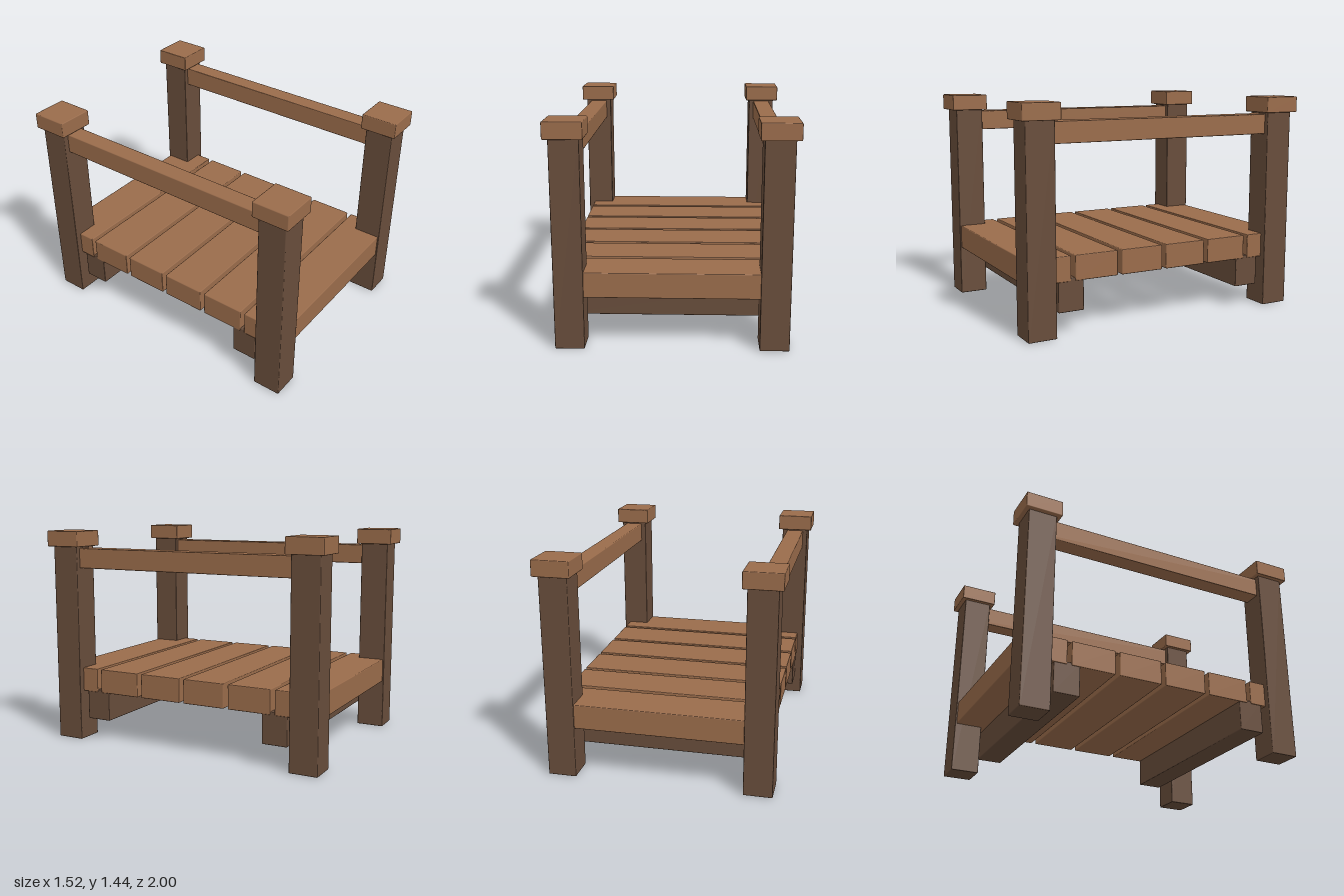
import * as THREE from 'three';
import { RoundedBoxGeometry } from 'three/addons/geometries/RoundedBoxGeometry.js';

const lightWood = new THREE.MeshStandardMaterial({ color: 0x9a6c4b });
const darkWood = new THREE.MeshStandardMaterial({ color: 0x684d3b });

// Timber with slightly eased edges, given by its centre and size
function timber(name, material, [x, y, z], [w, h, d]) {
  const mesh = new THREE.Mesh(new RoundedBoxGeometry(w, h, d, 1, 0.006), material);
  mesh.name = name;
  mesh.position.set(x, y, z);
  return mesh;
}

export function createModel() {
  const bridge = new THREE.Group();
  bridge.name = 'footbridge';

  for (const sx of [1, -1]) {
    const side = sx > 0 ? 'left' : 'right';

    // Corner posts with square caps
    for (const sz of [1, -1]) {
      const corner = side + (sz > 0 ? 'Front' : 'Back');
      bridge.add(
        timber(corner + 'Post', darkWood, [sx * 0.638, 0.67, sz * 0.875], [0.186, 1.34, 0.19]),
        timber(corner + 'Cap', lightWood, [sx * 0.64, 1.383, sz * 0.876], [0.243, 0.106, 0.248])
      );
    }

    // Handrail, housed in the posts at both ends
    bridge.add(timber(side + 'Handrail', lightWood, [sx * 0.638, 1.253, 0], [0.12, 0.134, 1.93]));
  }

  // Cross beams under the deck
  for (const sz of [1, -1]) {
    bridge.add(timber(sz > 0 ? 'frontBeam' : 'backBeam', darkWood,
      [0, 0.25, sz * 0.663], [1.37, 0.212, 0.173]));
  }

  // Deck planks
  for (let i = 0; i < 6; i++) {
    bridge.add(timber('deckPlank' + (i + 1), lightWood,
      [0, 0.418, (2.5 - i) * 0.325], [1.38, 0.162, 0.295]));
  }

  return bridge;
}
